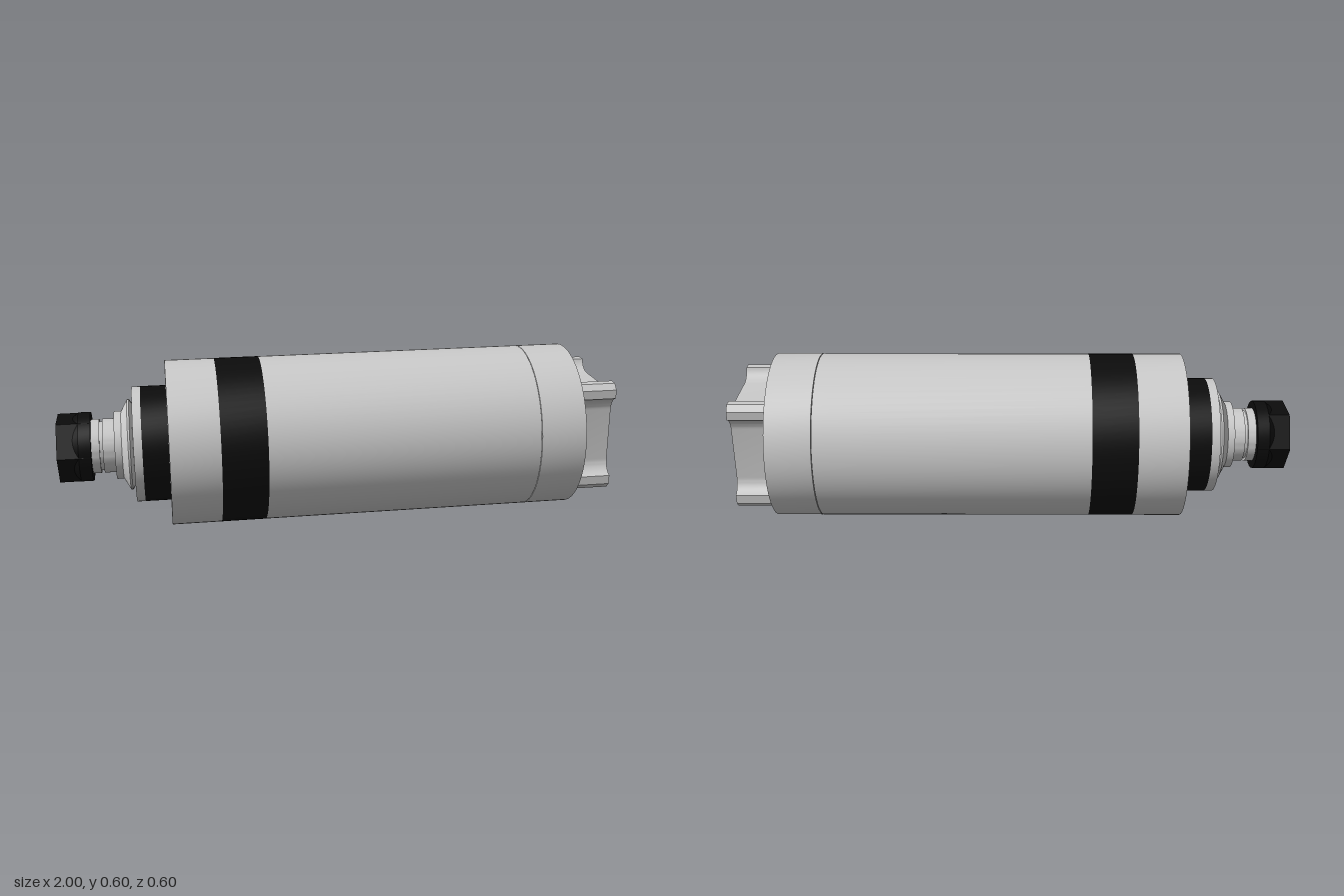
import * as THREE from 'three';
import { toCreasedNormals } from 'three/addons/utils/BufferGeometryUtils.js';

const AXIS_Y = 0.298;
const grey = new THREE.MeshStandardMaterial({ color: 0xcccccc });
const black = new THREE.MeshStandardMaterial({ color: 0x0c0c0c });

export function createModel() {
  const model = new THREE.Group();

  const add = (name, geometry, material = grey) => {
    const mesh = new THREE.Mesh(toCreasedNormals(geometry, 0.5), material);
    mesh.name = name;
    mesh.position.y = AXIS_Y;
    model.add(mesh);
  };

  // Turned part: profile of [x, radius] pairs along the spindle axis
  const turned = (name, profile, material) => {
    const points = profile.map(([x, r]) => new THREE.Vector2(r, x));
    add(name, new THREE.LatheGeometry(points, 72).rotateZ(-Math.PI / 2), material);
  };
  const disc = (name, x0, x1, r, material) =>
    turned(name, [[x0, 0], [x0, r], [x1, r], [x1, 0]], material);

  // Plate cut from a shape drawn in the (-z, y) plane, extruded along x
  const plate = (name, shape, holes, x0, x1) => {
    for (const [u, v, r] of holes) {
      shape.holes.push(new THREE.Path().absarc(u, v, r, 0, Math.PI * 2, true));
    }
    const geometry = new THREE.ExtrudeGeometry(shape, { depth: x1 - x0, bevelEnabled: false, curveSegments: 36 });
    add(name, geometry.rotateY(Math.PI / 2).translate(x0, 0, 0));
  };

  // Collet nut: hexagon with a round chamfered collar
  const hex = new THREE.CylinderGeometry(0.125, 0.125, 0.115, 6);
  add('colletNut', hex.rotateZ(-Math.PI / 2).translate(-0.9425, 0, 0), black);
  turned('nutCollar', [[-0.945, 0], [-0.945, 0.108], [-0.925, 0.124], [-0.882, 0.124], [-0.882, 0]], black);

  // Stepped shaft with groove and flared slinger
  turned('shaft', [
    [-0.9, 0], [-0.9, 0.097], [-0.853, 0.097], [-0.853, 0.088], [-0.842, 0.088], [-0.842, 0.097],
    [-0.8, 0.097], [-0.8, 0.122], [-0.775, 0.122], [-0.752, 0.163], [-0.745, 0.163],
    [-0.735, 0.148], [-0.73, 0.148], [-0.73, 0],
  ]);

  // Nose and housing
  disc('frontFlange', -0.733, -0.703, 0.208);
  disc('noseRing', -0.703, -0.612, 0.208, black);
  disc('frontHousing', -0.612, -0.436, 0.298);
  disc('blackBand', -0.436, -0.275, 0.298, black);
  disc('mainHousing', -0.275, 0.697, 0.298);

  // Rear cap with coolant and cable ports
  const round = new THREE.Shape().absarc(0, 0, 0.298, 0, Math.PI * 2);
  plate('rearCap', round, [
    [0, 0.228, 0.036], [0.22, -0.085, 0.036],
    [-0.107, 0.228, 0.03], [-0.234, 0.094, 0.03], [0.052, -0.246, 0.03],
  ], 0.699, 0.863);

  // Rear connector block: square with four chamfered screw posts
  const outline = [];
  const screws = [];
  for (let k = 0; k < 4; k++) {
    const corner = [];
    const arc = (cx, cy, from, to) => {
      for (let i = 0; i <= 10; i++) {
        const a = from + (to - from) * i / 10;
        corner.push(new THREE.Vector2(cx + 0.056 * Math.cos(a), cy + 0.056 * Math.sin(a)));
      }
    };
    arc(0.218, 0.096, Math.PI, 1.859);
    corner.push(new THREE.Vector2(0.202, 0.182), new THREE.Vector2(0.182, 0.202));
    arc(0.096, 0.218, -0.288, -Math.PI / 2);
    const origin = new THREE.Vector2();
    corner.forEach((p) => outline.push(p.rotateAround(origin, k * Math.PI / 2)));
    const s = new THREE.Vector2(0.165, 0.165).rotateAround(origin, k * Math.PI / 2);
    screws.push([s.x, s.y, 0.026]);
  }
  plate('connectorBlock', new THREE.Shape(outline), screws, 0.863, 1);

  return model;
}
